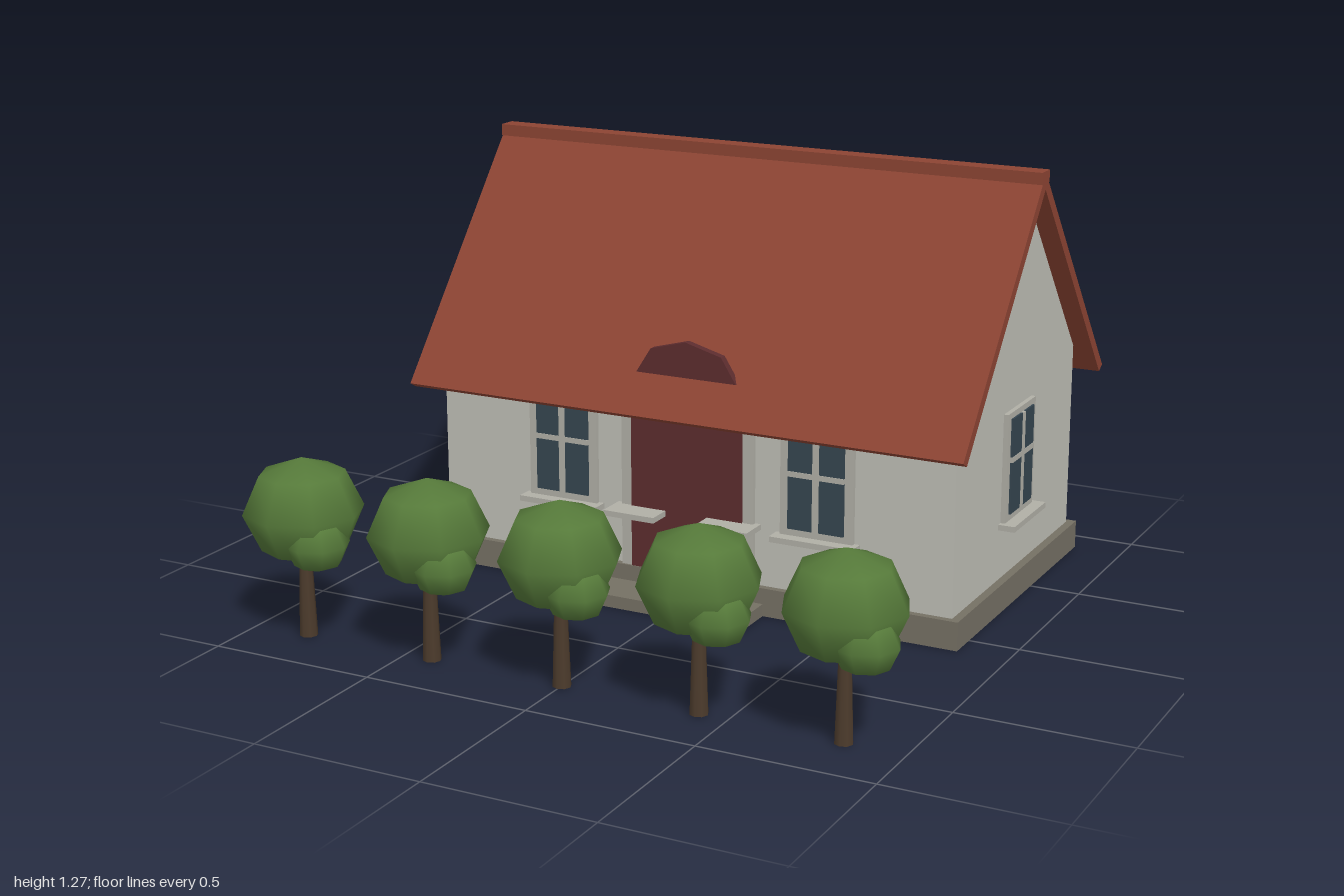
import * as THREE from 'three';

const mat = (name, color, opts = {}) => {
  const m = new THREE.MeshStandardMaterial({ color, ...opts });
  m.name = name;
  return m;
};

export function createModel() {
  const model = new THREE.Group();
  model.name = 'cottageWithTrees';

  const M = {
    wall: mat('plaster', 0xbebdb5),
    roof: mat('roofTile', 0x8c4433),
    stone: mat('stone', 0x757064),
    trim: mat('trim', 0xb0afa6),
    glass: mat('glass', 0x35454f),
    door: mat('doorRed', 0x5c2c2e),
    leaf: mat('leaf', 0x567a3a),
    bark: mat('bark', 0x4c3b2c),
  };

  const add = (parent, name, geometry, material, x = 0, y = 0, z = 0) => {
    const mesh = new THREE.Mesh(geometry, material);
    mesh.name = name;
    mesh.position.set(x, y, z);
    parent.add(mesh);
    return mesh;
  };
  // Box given by its extents
  const box = (parent, name, material, x0, x1, y0, y1, z0, z1) =>
    add(parent, name, new THREE.BoxGeometry(x1 - x0, y1 - y0, z1 - z0), material,
      (x0 + x1) / 2, (y0 + y1) / 2, (z0 + z1) / 2);
  const shapeOf = (pts) => new THREE.Shape(pts.map(([x, y]) => new THREE.Vector2(x, y)));
  // Cross-section in depth and height, swept along x
  const sweepX = (pts, half) =>
    new THREE.ExtrudeGeometry(shapeOf(pts), { depth: half * 2, bevelEnabled: false })
      .translate(0, 0, -half).rotateY(Math.PI / 2);

  const house = new THREE.Group();
  house.name = 'house';
  model.add(house);
  const zc = -0.403, wallX = 0.825, wallZ = 0.475;
  const plinthTop = 0.085, slope = 1.2, under = 1.22, over = 1.268;

  // Plinth and doorstep
  box(house, 'plinth', M.stone, -0.85, 0.85, 0, plinthTop, zc - 0.496, zc + 0.496);
  box(house, 'doorstep', M.stone, -0.25, 0.25, 0, 0.037, 0.08, 0.23);

  // Walls with gables
  const eaveY = under - slope * wallZ;
  add(house, 'walls', sweepX([
    [-wallZ, plinthTop], [wallZ, plinthTop], [wallZ, eaveY], [0, under], [-wallZ, eaveY],
  ], wallX), M.wall, 0, 0, zc);

  // Roof slab bent over the ridge
  const ro = 0.579, ri = 0.552;
  add(house, 'roof', sweepX([
    [-ro, over - slope * ro], [-ri, under - slope * ri], [0, under],
    [ri, under - slope * ri], [ro, over - slope * ro], [0, over],
  ], 0.885), M.roof, 0, 0, zc);
  box(house, 'ridgeCap', M.roof, -0.885, 0.885, 1.238, 1.273, zc - 0.03, zc + 0.03);

  // Arched panel on the front slope
  const arch = [];
  for (let i = 0; i <= 4; i++) {
    const a = (i * Math.PI) / 4;
    arch.push([0.16 * Math.cos(a), 0.105 * Math.sin(a)]);
  }
  add(house, 'roofArch',
    new THREE.ExtrudeGeometry(shapeOf(arch), { depth: 0.024, bevelEnabled: false }),
    M.door, 0, 0.68, 0.068);

  // Door with side trim and ledges
  const front = zc + wallZ;
  box(house, 'door', M.door, -0.18, 0.18, plinthTop, 0.62, front - 0.01, front + 0.018);
  for (const s of [-1, 1]) {
    add(house, 'doorTrim', new THREE.BoxGeometry(0.034, 0.535, 0.02), M.trim,
      s * 0.197, plinthTop + 0.2675, front + 0.004);
    add(house, 'doorLedge', new THREE.BoxGeometry(0.165, 0.017, 0.1), M.trim,
      s * 0.15, 0.262, front + 0.043);
  }

  // Windows, each facing out of its wall
  const addWindow = (x, z, turn) => {
    const w = new THREE.Group();
    w.name = 'window';
    w.position.set(x, 0, z);
    w.rotation.y = turn;
    box(w, 'windowFrame', M.trim, -0.113, 0.113, 0.255, 0.583, -0.005, 0.014);
    box(w, 'windowSill', M.trim, -0.13, 0.13, 0.24, 0.257, -0.005, 0.05);
    for (const s of [-1, 1]) {
      for (const [y0, y1] of [[0.278, 0.434], [0.45, 0.565]]) {
        add(w, 'pane', new THREE.BoxGeometry(0.077, y1 - y0, 0.008), M.glass,
          s * 0.0485, (y0 + y1) / 2, 0.016);
      }
    }
    box(w, 'mullion', M.trim, -0.01, 0.01, 0.278, 0.565, 0.01, 0.022);
    box(w, 'transom', M.trim, -0.087, 0.087, 0.434, 0.45, 0.01, 0.022);
    house.add(w);
  };
  for (const s of [-1, 1]) {
    addWindow(s * 0.412, front, 0);
    addWindow(s * 0.412, zc - wallZ, Math.PI);
    addWindow(s * wallX, zc, (s * Math.PI) / 2);
  }

  // Row of trees
  const trunk = new THREE.CylinderGeometry(0.017, 0.026, 0.27, 8);
  const crown = new THREE.SphereGeometry(0.171, 8, 4).scale(1, 0.9, 1);
  const tuft = new THREE.SphereGeometry(0.092, 8, 4).scale(1, 0.9, 1);
  for (let i = -2; i <= 2; i++) {
    const tree = new THREE.Group();
    tree.name = 'tree';
    tree.position.set(i * 0.4135, 0, 0.81);
    add(tree, 'trunk', trunk, M.bark, 0, 0.135, 0);
    add(tree, 'crown', crown, M.leaf, 0, 0.371, 0);
    add(tree, 'lowerTuft', tuft, M.leaf, 0.078, 0.3, 0.05);
    model.add(tree);
  }

  return model;
}
